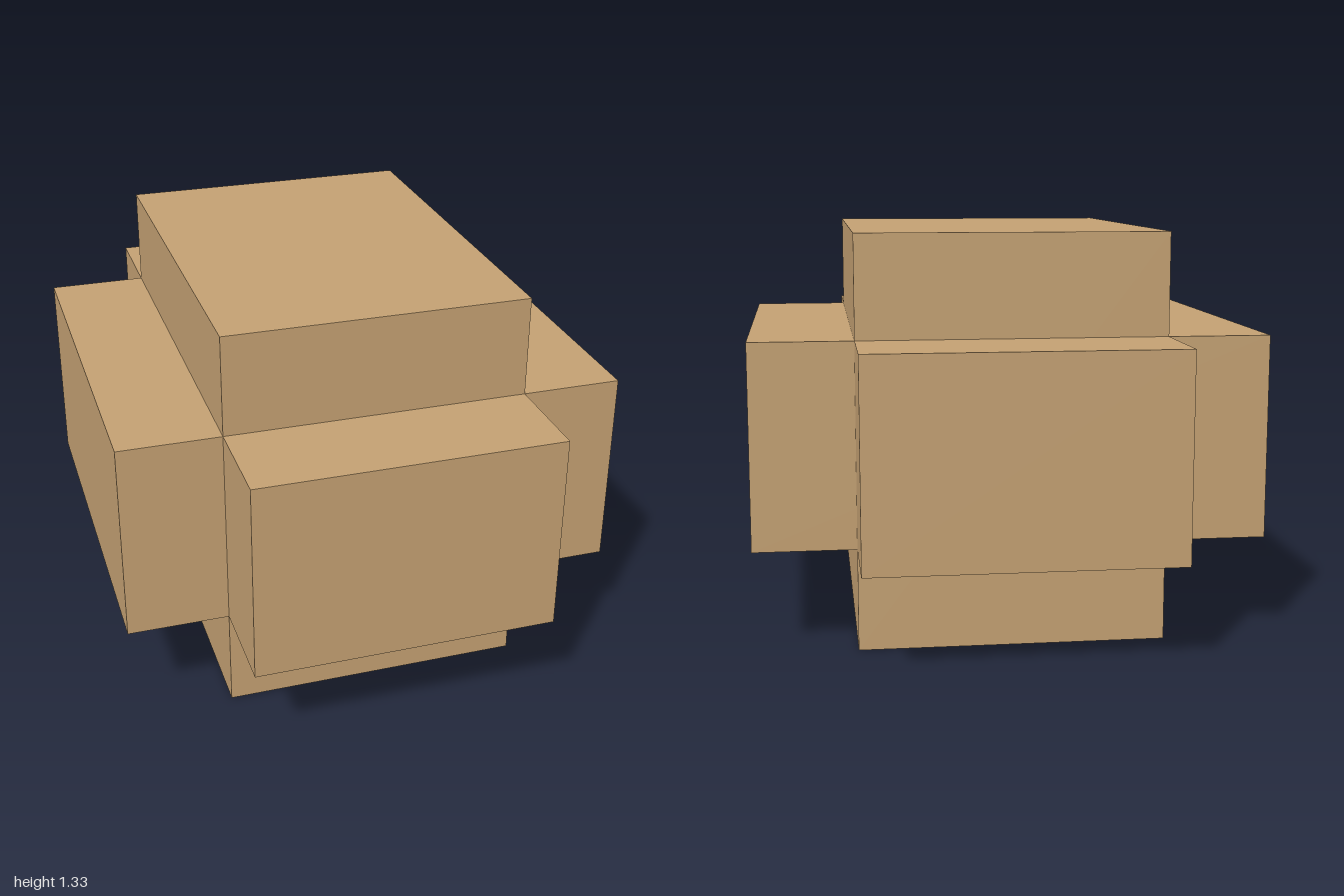
import * as THREE from 'three';

export function createModel() {
  const group = new THREE.Group();
  group.name = 'crossedBlocks';
  const tan = new THREE.MeshStandardMaterial({ color: 0xc3a072 });
  tan.name = 'tan';

  // Three blocks crossing at a shared centre, one long in each axis
  const third = 1 / 3;
  const blocks = [
    ['uprightBlock', 3, 4, 4],
    ['sidewaysBlock', 5, 2, 4],
    ['lengthwiseBlock', 3, 2, 6],
  ];
  for (const [name, w, h, d] of blocks) {
    const mesh = new THREE.Mesh(new THREE.BoxGeometry(w * third, h * third, d * third), tan);
    mesh.name = name;
    mesh.position.y = 2 * third;
    group.add(mesh);
  }
  return group;
}
